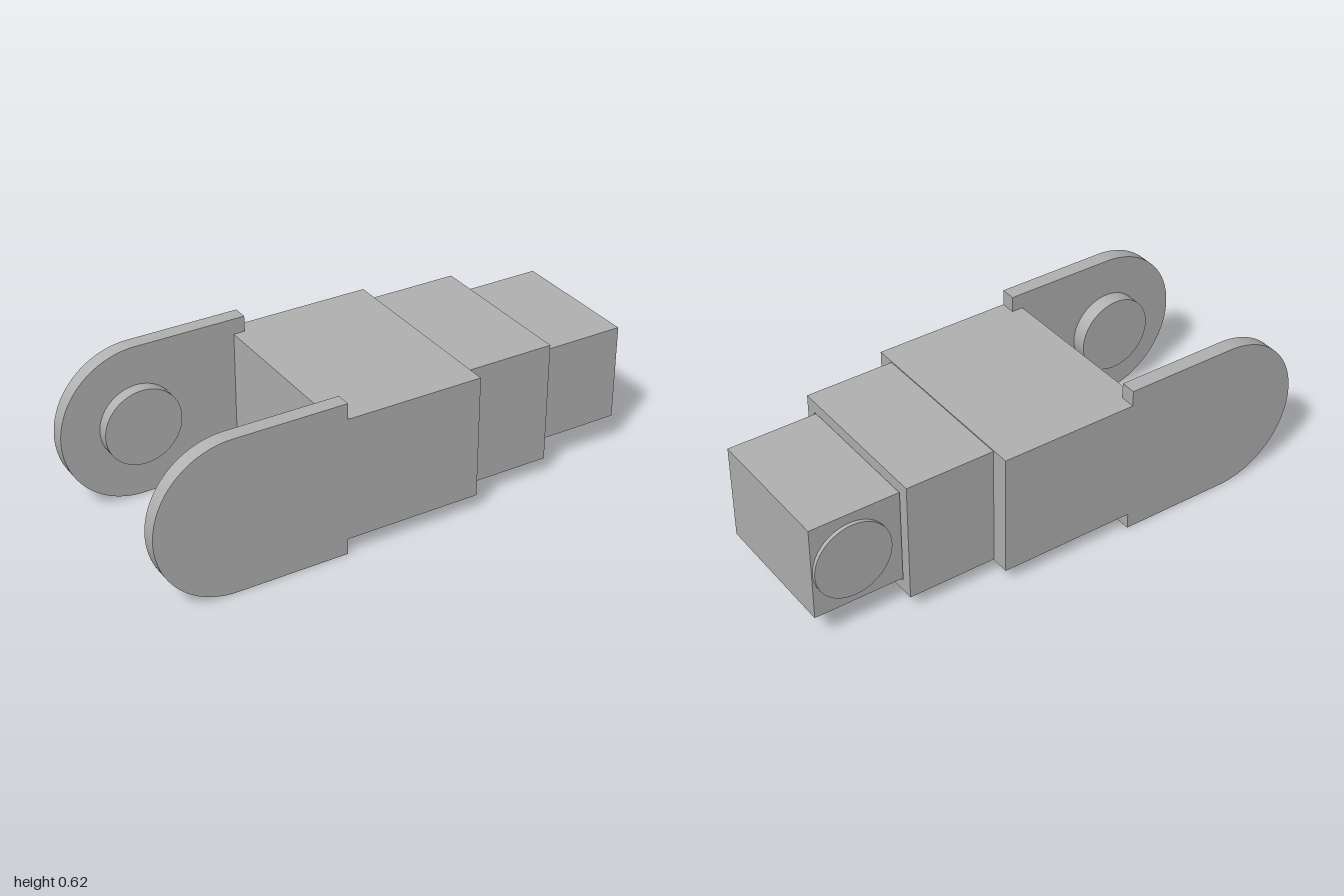
import * as THREE from 'three';

const CY = 0.308; // shared axis height

export function createModel() {
  const group = new THREE.Group();
  const grey = new THREE.MeshStandardMaterial({ color: 0xb2b2b2 });
  grey.name = 'plain grey';

  const add = (name, geometry, x, y, z) => {
    const mesh = new THREE.Mesh(geometry, grey);
    mesh.name = name;
    mesh.position.set(x, y, z);
    group.add(mesh);
    return mesh;
  };
  const block = (name, x0, x1, h, d) =>
    add(name, new THREE.BoxGeometry(x1 - x0, h, d), (x0 + x1) / 2, CY, 0);
  const disc = (name, x, r, z0, z1) => {
    const g = new THREE.CylinderGeometry(r, r, z1 - z0, 64).rotateX(Math.PI / 2);
    return add(name, g, x, CY, (z0 + z1) / 2);
  };

  // Main block
  block('mainBlock', -0.295, 0.295, 0.491, 0.79);

  // Middle sleeve, with a socket that the end block slides into
  const rect = (shape, w, h) => {
    shape.moveTo(-w / 2, -h / 2);
    shape.lineTo(w / 2, -h / 2);
    shape.lineTo(w / 2, h / 2);
    shape.lineTo(-w / 2, h / 2);
    shape.closePath();
    return shape;
  };
  const sleeve = rect(new THREE.Shape(), 0.646, 0.482);
  sleeve.holes.push(rect(new THREE.Path(), 0.556, 0.39));
  const sleeveGeo = new THREE.ExtrudeGeometry(sleeve, { depth: 0.353, bevelEnabled: false });
  sleeveGeo.rotateY(Math.PI / 2);
  add('middleSleeve', sleeveGeo, 0.295, CY, 0);

  // End block with a round boss on its back side
  block('endBlock', 0.295, 1, 0.382, 0.544);
  disc('endBoss', 0.843, 0.153, -0.287, -0.27);

  // Fork cheeks with rounded ends
  const R = 0.308;
  const cheek = new THREE.Shape();
  cheek.moveTo(-0.25, -R);
  cheek.lineTo(-0.25, R);
  cheek.lineTo(-1 + R, R);
  cheek.absarc(-1 + R, 0, R, Math.PI / 2, Math.PI * 1.5, false);
  cheek.closePath();
  const cheekGeo = new THREE.ExtrudeGeometry(cheek, { depth: 0.06, bevelEnabled: false, curveSegments: 40 });
  add('frontCheek', cheekGeo, 0, CY, 0.335);
  add('backCheek', cheekGeo, 0, CY, -0.395);

  // Pivot pins on the inner faces of the cheeks
  disc('frontPin', -0.695, 0.153, 0.274, 0.336);
  disc('backPin', -0.695, 0.153, -0.336, -0.287);

  return group;
}
